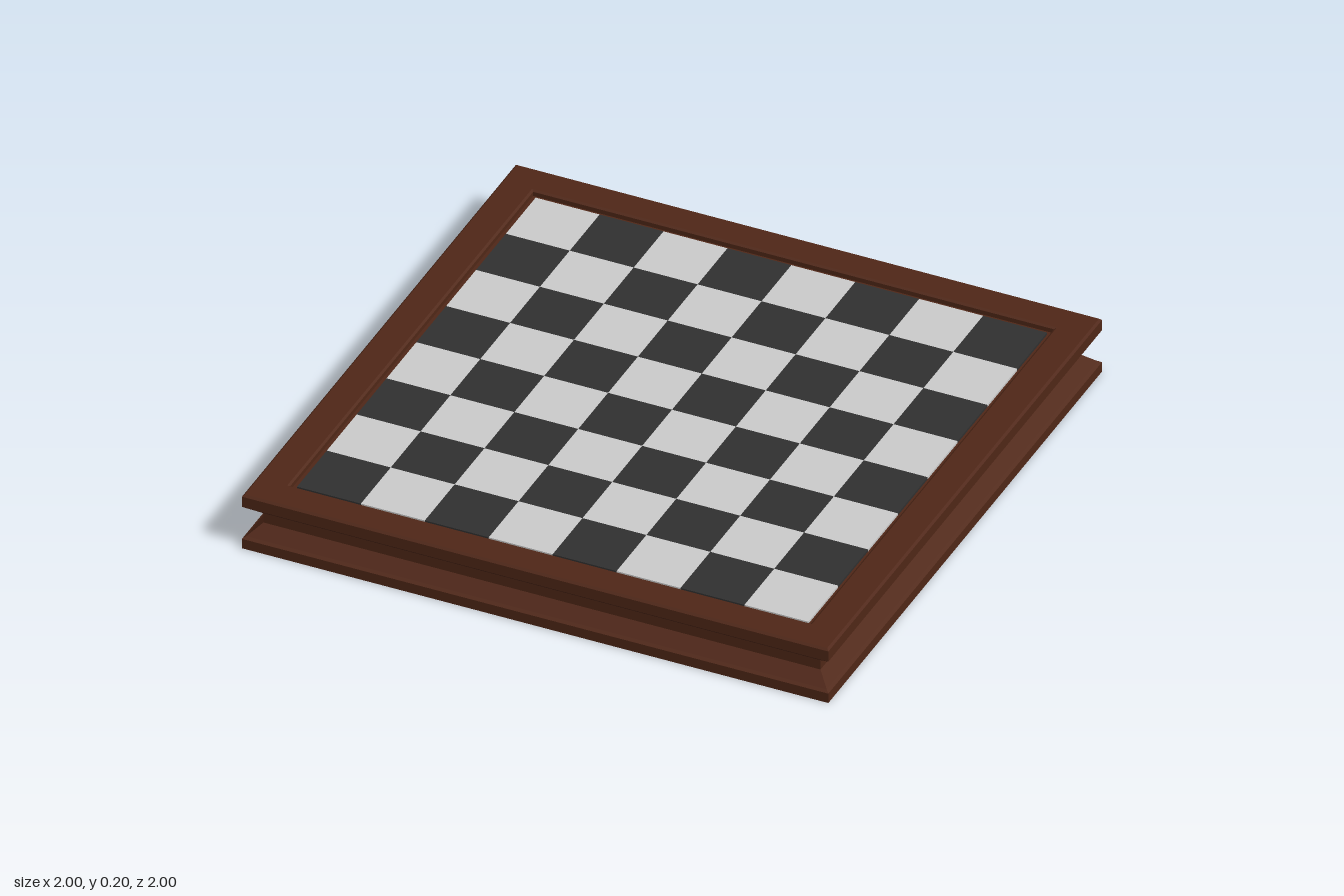
import * as THREE from 'three';

const paint = (color) => new THREE.MeshStandardMaterial({ color });

export function createModel() {
  const board = new THREE.Group();
  board.name = 'chessboard';

  // Moulded wooden frame: half-width and height pairs, swept round four sides
  const profile = [
    [0, 0], [1, 0], [1, 0.035], [0.99, 0.042], [0.95, 0.08], [0.95, 0.115],
    [1, 0.155], [1, 0.193], [0.993, 0.2], [0.895, 0.2], [0.888, 0.195],
    [0.888, 0.18], [0, 0.18],
  ].map(([r, y]) => new THREE.Vector2(r * Math.SQRT2, y));
  const frameShape = new THREE.LatheGeometry(profile, 4, Math.PI / 4).toNonIndexed();
  frameShape.computeVertexNormals();
  const frame = new THREE.Mesh(frameShape, paint(0x502717));
  frame.name = 'frame';
  board.add(frame);

  // Eight by eight inlaid squares, light in the back left corner of the plan
  const size = 0.218;
  const tile = new THREE.BoxGeometry(size, 0.014, size);
  const light = paint(0xcccccc);
  const dark = paint(0x303030);
  const squares = new THREE.Group();
  squares.name = 'squares';
  for (let row = 0; row < 8; row++) {
    for (let col = 0; col < 8; col++) {
      const isLight = (row + col) % 2 === 0;
      const square = new THREE.Mesh(tile, isLight ? light : dark);
      square.name = isLight ? 'lightSquare' : 'darkSquare';
      square.position.set((col - 3.5) * size, 0.181, (row - 3.5) * size);
      squares.add(square);
    }
  }
  board.add(squares);
  return board;
}
